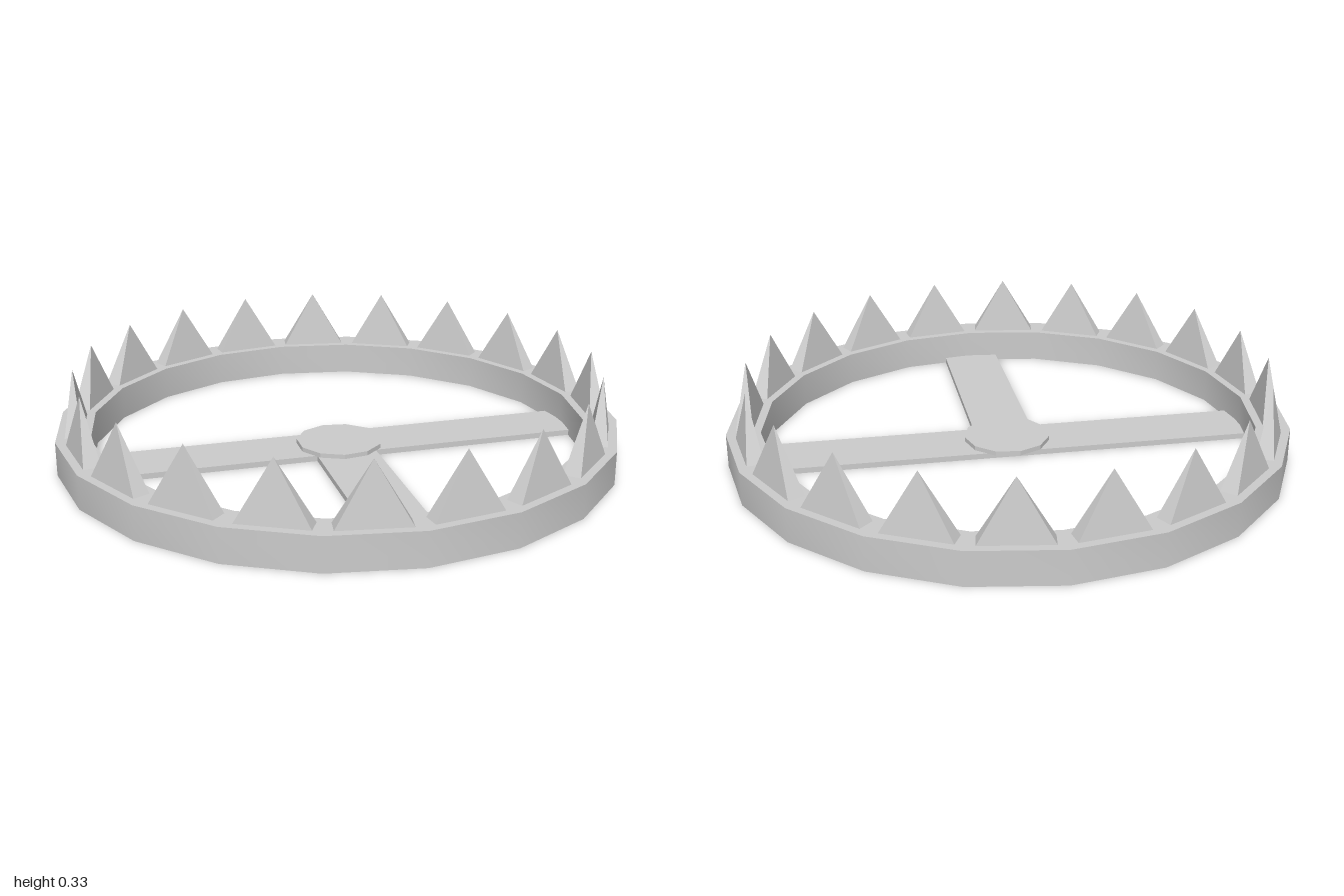
import * as THREE from 'three';
import { toCreasedNormals } from 'three/addons/utils/BufferGeometryUtils.js';

const SIDES = 20;
const OUTER = 1, INNER = 0.88, RING_HEIGHT = 0.12;
const BAR_WIDTH = 0.215, BAR_HEIGHT = 0.02;

export function createModel() {
  const model = new THREE.Group();
  model.name = 'spikedRingTrap';
  const smooth = new THREE.MeshStandardMaterial({ color: 0xcccccc });
  const flat = new THREE.MeshStandardMaterial({ color: 0xcccccc, flatShading: true });

  const add = (name, geometry, material, x = 0, y = 0, z = 0) => {
    const mesh = new THREE.Mesh(geometry, material);
    mesh.name = name;
    mesh.position.set(x, y, z);
    model.add(mesh);
    return mesh;
  };

  // Twenty-sided ring with a rectangular section
  const section = [
    [OUTER, 0], [OUTER, RING_HEIGHT], [INNER, RING_HEIGHT], [INNER, 0], [OUTER, 0],
  ].map(([r, y]) => new THREE.Vector2(r, y));
  add('ring', toCreasedNormals(new THREE.LatheGeometry(section, SIDES), 0.5), smooth);

  // One four-sided tooth centred on each straight side of the ring
  const toothHeight = 0.21;
  const tooth = new THREE.ConeGeometry(Math.SQRT1_2, toothHeight, 4)
    .rotateY(Math.PI / 4)
    .scale(0.24, 1, 0.06);
  const toothRadius = (OUTER + INNER) / 2 * Math.cos(Math.PI / SIDES);
  for (let i = 0; i < SIDES; i++) {
    const a = (i + 0.5) / SIDES * Math.PI * 2;
    const mesh = add('tooth', tooth, flat,
      Math.sin(a) * toothRadius, RING_HEIGHT + toothHeight / 2, Math.cos(a) * toothRadius);
    mesh.rotation.y = a;
  }

  // Flat bar across the ring, and a shorter one from it to the front
  add('crossBar', new THREE.BoxGeometry(INNER * 2 - 0.01, BAR_HEIGHT, BAR_WIDTH), flat,
    0, BAR_HEIGHT / 2, 0.005);
  const from = 0.005 + BAR_WIDTH / 2, to = INNER - 0.005;
  add('frontBar', new THREE.BoxGeometry(BAR_WIDTH, BAR_HEIGHT, to - from), flat,
    0.003, BAR_HEIGHT / 2, (from + to) / 2);

  // Trigger plate lying on the bars
  add('triggerPlate',
    new THREE.CylinderGeometry(0.155, 0.155, 0.017, 11, 1, false, Math.PI / 2), flat,
    0.003, 0.0275, 0.015);

  return model;
}
